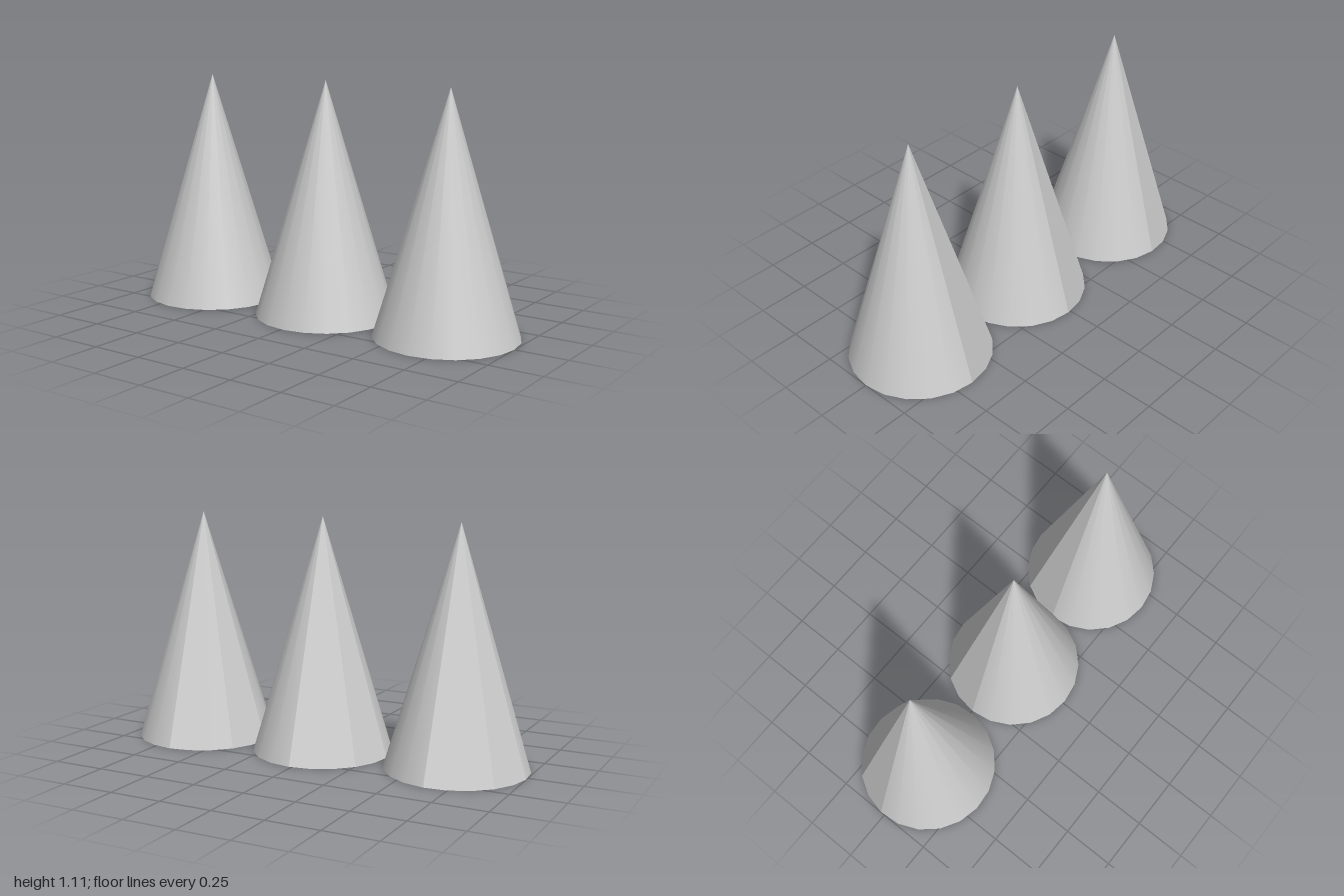
import * as THREE from 'three';

const RADIUS = 0.3335, HEIGHT = 1.11, STEP = Math.PI / 10; // 20 sides

const material = new THREE.MeshStandardMaterial({ color: 0xcccccc });

// Part of the cone's side, from one side number to another
function sideSector(from, count, flat) {
  const geo = new THREE.CylinderGeometry(0, RADIUS, HEIGHT, count, 1, true, from * STEP, count * STEP);
  geo.translate(0, HEIGHT / 2, 0);
  if (flat) {
    // one shared normal makes the sector read as a single facet
    const mid = (from + count / 2) * STEP;
    const n = new THREE.Vector3(Math.sin(mid) * HEIGHT, RADIUS, Math.cos(mid) * HEIGHT).normalize();
    const normals = geo.attributes.normal;
    for (let i = 0; i < normals.count; i++) normals.setXYZ(i, n.x, n.y, n.z);
  }
  return geo;
}

function createCone(name, z, turn) {
  const cone = new THREE.Group();
  cone.name = name;
  const add = (partName, geo) => {
    const mesh = new THREE.Mesh(geo, material);
    mesh.name = partName;
    cone.add(mesh);
  };
  // Smooth three quarters, then two facets closing the back corner
  add('smoothSide', sideSector(10, 15, false));
  add('wideFacet', sideSector(5, 3, true));
  add('narrowFacet', sideSector(8, 2, true));
  // Base disc facing down
  add('base', new THREE.CircleGeometry(RADIUS, 20).rotateX(Math.PI / 2));
  cone.position.z = z;
  cone.rotation.y = turn;
  return cone;
}

export function createModel() {
  const model = new THREE.Group();
  model.name = 'coneRow';
  model.add(
    createCone('frontCone', 0.6665, 0),
    createCone('middleCone', 0.013, 0),
    createCone('backCone', -0.6665, -0.07),
  );
  return model;
}
